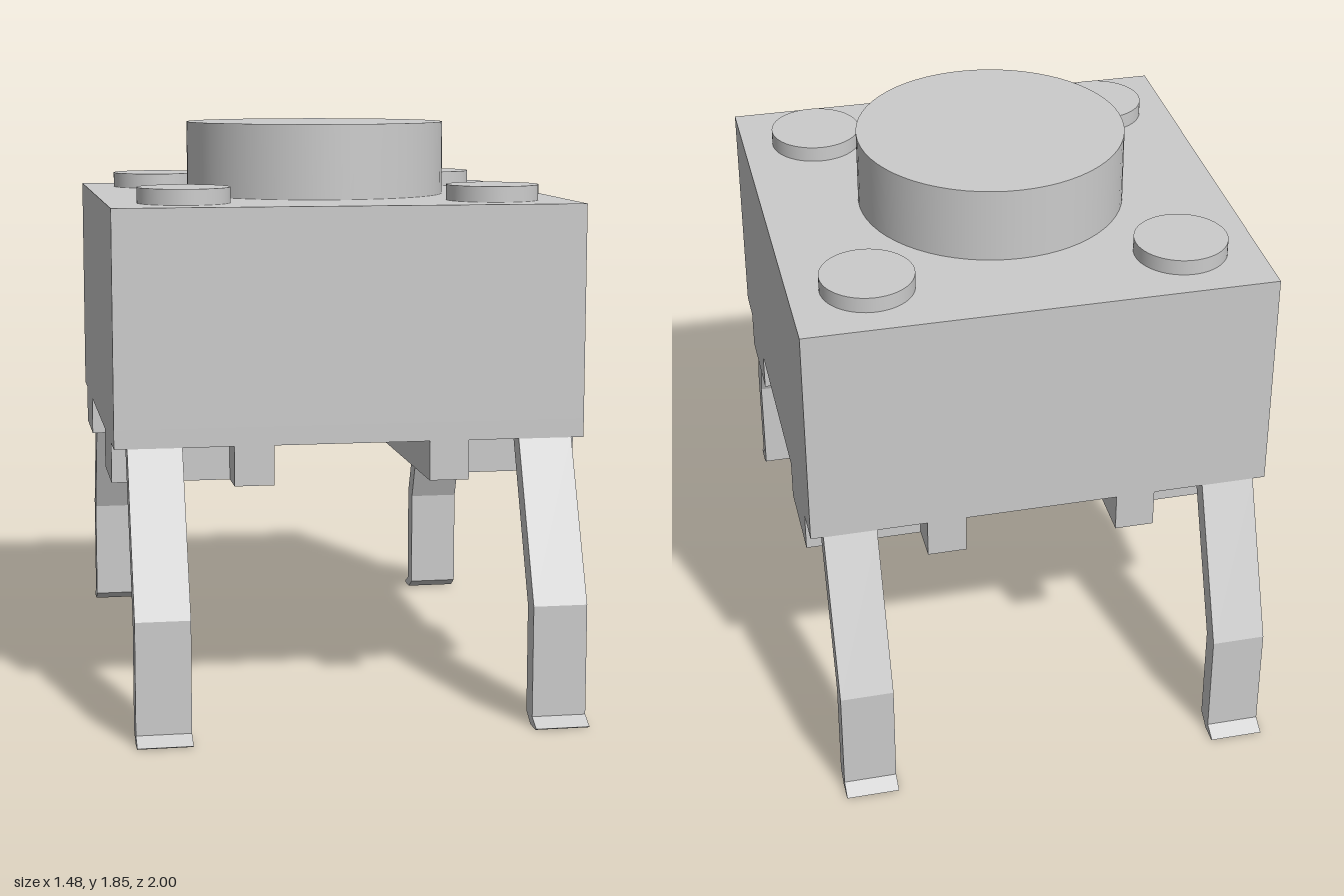
import * as THREE from 'three';

const material = new THREE.MeshStandardMaterial({ color: 0xcccccc });

export function createModel() {
  const model = new THREE.Group();
  model.name = 'pushButtonSwitch';

  const add = (name, geometry, x = 0, y = 0, z = 0) => {
    const mesh = new THREE.Mesh(geometry, material);
    mesh.name = name;
    mesh.position.set(x, y, z);
    model.add(mesh);
    return mesh;
  };
  const box = (name, x0, x1, y0, y1, z0, z1) =>
    add(name, new THREE.BoxGeometry(x1 - x0, y1 - y0, z1 - z0),
      (x0 + x1) / 2, (y0 + y1) / 2, (z0 + z1) / 2);
  const disc = (name, radius, y0, y1, x, z) =>
    add(name, new THREE.CylinderGeometry(radius, radius, y1 - y0, 64), x, (y0 + y1) / 2, z);
  const rectangle = (Type, x0, x1, y0, y1) => new Type([
    new THREE.Vector2(x0, y0), new THREE.Vector2(x1, y0),
    new THREE.Vector2(x1, y1), new THREE.Vector2(x0, y1),
  ]);

  // Housing, with a base plate holding two shallow pits underneath
  const half = 0.74, base = 0.87, pitTop = 0.93, top = 1.605;
  box('housing', -half, half, pitTop, top, -half, half);
  const plate = rectangle(THREE.Shape, -half, half, -half, half);
  plate.holes.push(
    rectangle(THREE.Path, -0.17, 0.17, 0.42, 0.67),
    rectangle(THREE.Path, -0.17, 0.17, -0.67, -0.42));
  const plateGeometry = new THREE.ExtrudeGeometry(plate, { depth: pitTop - base, bevelEnabled: false });
  plateGeometry.rotateX(-Math.PI / 2);
  add('basePlate', plateGeometry, 0, base, 0);

  // Plunger and corner rivets
  disc('plunger', 0.43, top, 1.845, 0, 0);
  for (const x of [-0.495, 0.495])
    for (const z of [-0.495, 0.495]) disc('rivet', 0.147, top, 1.655, x, z);

  // Underside rails and standoff blocks
  for (const s of [-1, 1]) {
    const [r0, r1] = s > 0 ? [0.245, 0.37] : [-0.37, -0.245];
    box('rail', r0, r1, 0.745, base, -half, half);
    const [b0, b1] = s > 0 ? [0.37, half] : [-half, -0.37];
    box('standoff', b0, b1, 0.745, base, 0.33, 0.62);
    box('standoff', b0, b1, 0.745, base, -0.62, -0.33);
  }

  // Bent pins with out-turned tips; the profile runs in z and y
  const profile = new THREE.Shape([
    [0.67, 0.87], [0.88, 0.37], [0.88, 0.03], [0.93, 0], [0.99, 0], [1, 0.005],
    [0.95, 0.03], [0.95, 0.38], [0.74, 0.87],
  ].map(([z, y]) => new THREE.Vector2(z, y)));
  const pin = new THREE.ExtrudeGeometry(profile, { depth: 0.17, bevelEnabled: false });
  pin.rotateY(-Math.PI / 2).translate(0.085, 0, 0);
  for (const x of [-0.615, 0.615]) {
    add('frontPin', pin, x);
    add('backPin', pin, x).rotation.y = Math.PI;
  }

  return model;
}
